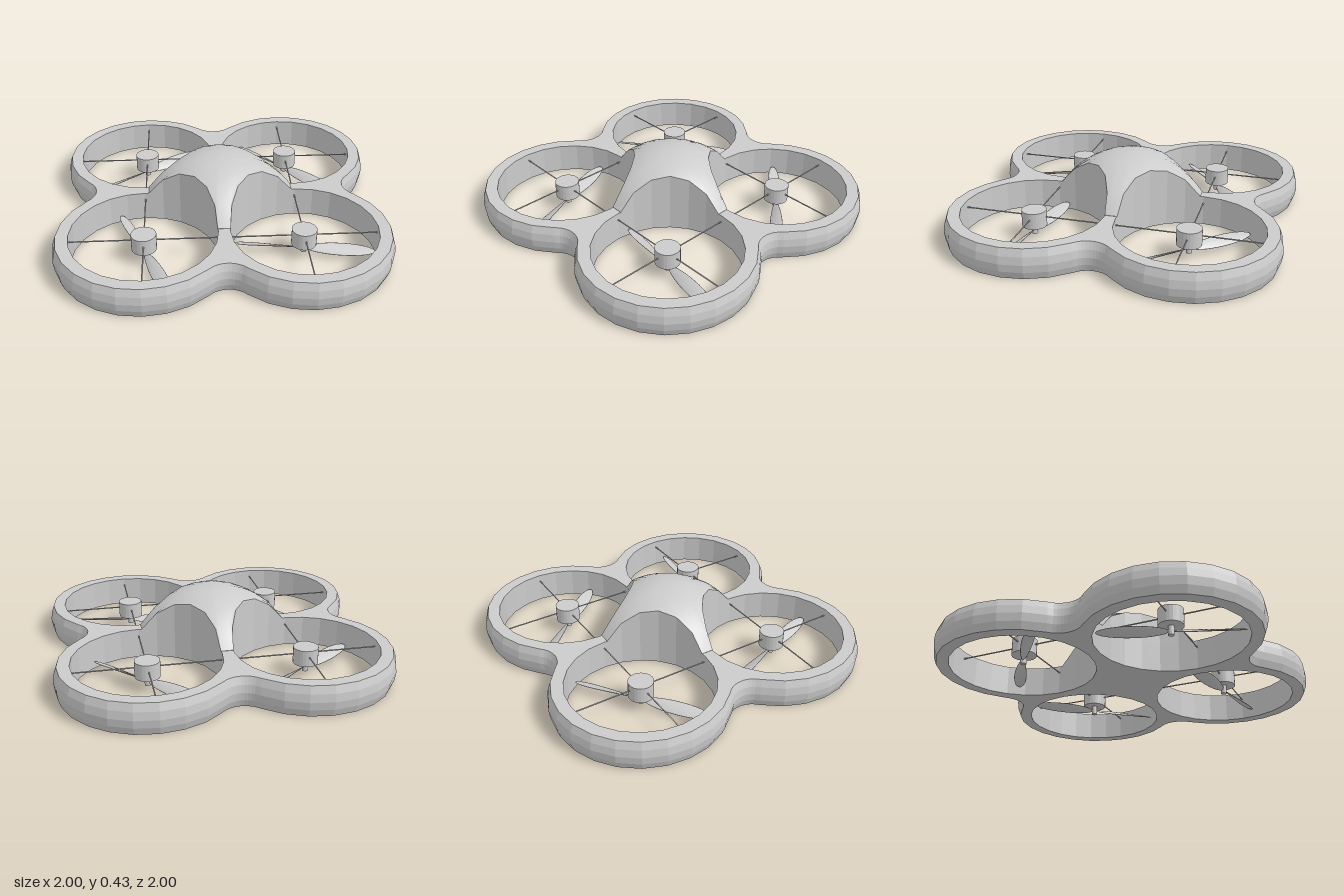
import * as THREE from 'three';

const C = 0.47;        // rotor centre offset
const HOLE = 0.435;    // duct radius
const TOP = 0.185;     // hull height
const rad = THREE.MathUtils.degToRad;
const smooth = new THREE.MeshStandardMaterial({ color: 0xcccccc });
const flat = new THREE.MeshStandardMaterial({ color: 0xcccccc, flatShading: true });
const inner = new THREE.MeshStandardMaterial({ color: 0xcccccc, flatShading: true, side: THREE.BackSide });

function add(parent, name, geometry, material, x = 0, y = 0, z = 0) {
  const mesh = new THREE.Mesh(geometry, material);
  mesh.name = name;
  mesh.position.set(x, y, z);
  parent.add(mesh);
  return mesh;
}

// Skin over closed rings of [x, y, z] points
function loft(rings) {
  const n = rings[0].length, index = [];
  for (let i = 0; i < rings.length - 1; i++) {
    for (let j = 0; j < n; j++) {
      const a = i * n + j, b = i * n + (j + 1) % n;
      index.push(a, a + n, b, b, a + n, b + n);
    }
  }
  const g = new THREE.BufferGeometry();
  g.setAttribute('position', new THREE.Float32BufferAttribute(rings.flat(2), 3));
  g.setIndex(index);
  g.computeVertexNormals();
  return g;
}

// Repeat one quadrant of [x, z] points four times around the centre
function fourfold(points) {
  const all = [];
  for (let q = 0; q < 4; q++) {
    for (const [x, z] of points) all.push([[x, z], [-z, x], [-x, -z], [z, -x]][q]);
  }
  return all;
}

const arcPoint = (cx, cz, r, deg) => [cx + r * Math.cos(rad(deg)), cz + r * Math.sin(rad(deg))];

// Clover outline, inset by d: a rotor arc, then the fillet to the next lobe
function outline(d) {
  const pts = [];
  for (let k = 0; k <= 12; k++) pts.push(arcPoint(C, C, 0.53 - d, -45 + 15 * k));
  for (let k = 1; k < 10; k++) pts.push(arcPoint(0, 0.922, 0.122 + d, -45 - 9 * k));
  return fourfold(pts);
}

function addHull(group) {
  // Bulging outer wall
  const profile = [[0.022, 0], [0.006, 0.045], [0, 0.0925], [0.006, 0.14], [0.022, TOP]];
  add(group, 'hullOuterWall', loft(profile.map(([d, y]) => outline(d).map(([x, z]) => [x, y, z]))), flat);

  // Flat top and bottom plates with four duct openings
  const shape = new THREE.Shape(outline(0.022).map(([x, z]) => new THREE.Vector2(x, z)));
  for (const [x, z] of fourfold([[C, C]])) {
    const circle = [];
    for (let k = 0; k < 24; k++) circle.push(new THREE.Vector2(...arcPoint(x, z, HOLE, -15 * k)));
    shape.holes.push(new THREE.Path(circle));
  }
  add(group, 'hullTop', new THREE.ShapeGeometry(shape).rotateX(-Math.PI / 2), flat, 0, TOP, 0);
  add(group, 'hullBottom', new THREE.ShapeGeometry(shape).rotateX(Math.PI / 2), flat);
}

// Spherical canopy whose sides are scooped out by the ducts
function addCanopy(group) {
  const pts = [[0.449, 0.0377]];
  for (let deg = 255; deg >= 195; deg -= 15) pts.push(arcPoint(C, C, HOLE, deg));
  pts.push([0.0377, 0.449]);
  const edge = fourfold(pts);
  const domeY = (x, z) => Math.sqrt(0.545 ** 2 - x * x - z * z) - 0.12;
  const rings = [];
  for (let i = 0; i <= 10; i++) {
    const s = 1 - i / 10;
    rings.push(edge.map(([x, z]) => [x * s, domeY(x * s, z * s), z * s]));
  }
  add(group, 'canopyTop', loft(rings), smooth);
  add(group, 'canopySides', loft([edge.map(([x, z]) => [x, TOP - 0.004, z]), rings[0]]), flat);
}

// Twisted blade reaching out along +x
function bladeGeometry() {
  const g = new THREE.SphereGeometry(1, 20, 16).rotateZ(-Math.PI / 2);
  const p = g.attributes.position;
  for (let i = 0; i < p.count; i++) {
    const t = p.getX(i);
    const w = p.getZ(i) * 0.041 * (1 + 0.15 * t), h = p.getY(i) * 0.006;
    const pitch = 0.5 - 0.2 * t;
    p.setXYZ(i, 0.215 + 0.205 * t,
      h * Math.cos(pitch) - w * Math.sin(pitch),
      w * Math.cos(pitch) + h * Math.sin(pitch));
  }
  g.computeVertexNormals();
  return g;
}

function addRotor(group, x, z, angle, blade) {
  const rotor = new THREE.Group();
  rotor.name = 'rotor';
  rotor.position.set(x, 0, z);
  group.add(rotor);

  add(rotor, 'ductWall', new THREE.CylinderGeometry(HOLE, HOLE, TOP, 24, 1, true), inner, 0, TOP / 2, 0);
  add(rotor, 'motor', new THREE.CylinderGeometry(0.075, 0.075, 0.1, 24), flat, 0, 0.13, 0);
  add(rotor, 'shaft', new THREE.CylinderGeometry(0.018, 0.018, 0.06, 12), flat, 0, 0.055, 0);

  // Crossed wires holding the motor
  for (const turn of [0, Math.PI / 2]) {
    const wire = new THREE.CylinderGeometry(0.004, 0.004, HOLE * 2, 6).rotateZ(Math.PI / 2);
    add(rotor, 'supportWire', wire, smooth, 0, 0.14, 0).rotation.y = turn;
  }

  // Two-bladed propeller under the motor
  const propeller = new THREE.Group();
  propeller.name = 'propeller';
  propeller.position.y = 0.05;
  propeller.rotation.y = rad(angle);
  rotor.add(propeller);
  for (const turn of [0, Math.PI]) add(propeller, 'blade', blade, smooth).rotation.y = turn;
}

export function createModel() {
  const group = new THREE.Group();
  group.name = 'quadcopter';
  addHull(group);
  addCanopy(group);
  const blade = bladeGeometry();
  addRotor(group, -C, -C, 36, blade);
  addRotor(group, C, -C, -48, blade);
  addRotor(group, -C, C, -69, blade);
  addRotor(group, C, C, -9, blade);
  return group;
}
